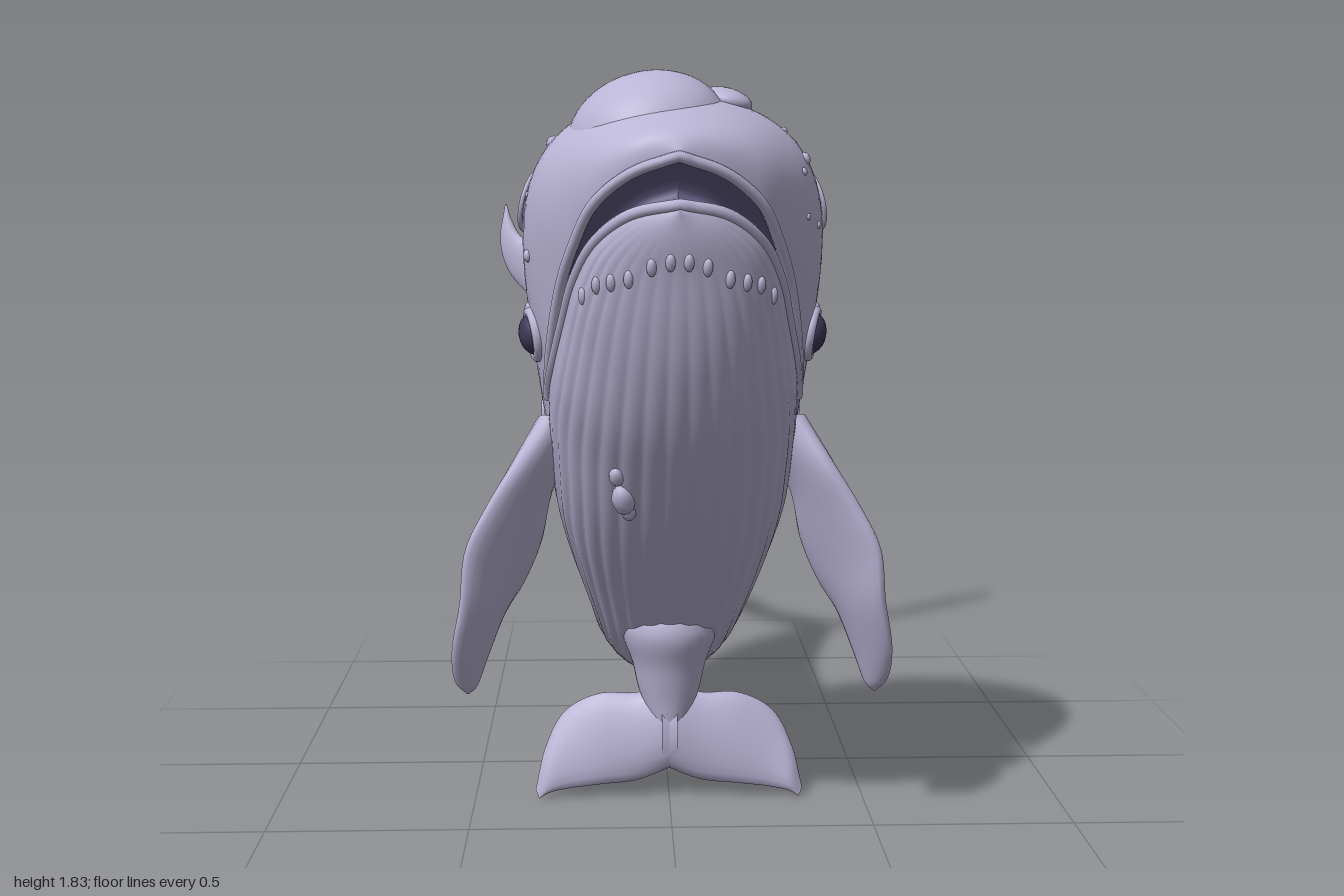
import * as THREE from 'three';
import { mergeGeometries, mergeVertices } from 'three/addons/utils/BufferGeometryUtils.js';

const V = (x, y, z) => new THREE.Vector3(x, y, z);
const skin = new THREE.MeshStandardMaterial({ color: 0xbab4d5 });
skin.name = 'lavenderSkin';
const dark = new THREE.MeshStandardMaterial({ color: 0x645c84, side: THREE.DoubleSide });
dark.name = 'darkHollow';
const eyeDark = new THREE.MeshStandardMaterial({ color: 0x3f3858 });
eyeDark.name = 'eyeDark';

// Body sections, head to tail: back (z, y), seam (z, y), seam half width, side bulge
const BACK = [
  [.93, 1.65, .93, 1.64, 0, 0], [.91, 1.69, .905, 1.605, .10, .01], [.85, 1.72, .86, 1.54, .18, .03],
  [.74, 1.76, .80, 1.45, .225, .065], [.60, 1.78, .74, 1.36, .255, .105], [.45, 1.765, .66, 1.22, .28, .12],
  [.30, 1.65, .58, 1.10, .29, .105], [.17, 1.50, .50, .98, .29, .075], [.11, 1.31, .42, .87, .285, .04],
  [.02, 1.11, .34, .75, .26, .02], [-.05, .97, .22, .61, .22, .015], [-.18, .82, .05, .50, .20, .005],
  [-.34, .76, -.22, .43, .19, 0], [-.48, .79, -.45, .46, .175, 0], [-.58, .88, -.63, .60, .15, 0],
  [-.64, .98, -.71, .75, .11, 0], [-.68, 1.06, -.735, .90, .07, 0], [-.71, 1.13, -.745, 1.03, .035, 0],
  [-.73, 1.17, -.745, 1.12, .015, 0]];
// Belly line (z, y) for the same sections, and the lower lip (z, y, half width)
const BELLY = [[1, 1.53], [.99, 1.46], [.97, 1.39], [.94, 1.28], [.90, 1.17], [.83, 1.03], [.74, .90], [.64, .77],
  [.53, .65], [.40, .52], [.25, .37], [0, .25], [-.26, .204], [-.53, .30], [-.70, .50], [-.77, .70],
  [-.785, .86], [-.77, 1.0], [-.75, 1.1]];
const LIP = [[.99, 1.54, 0], [.965, 1.52, .10], [.915, 1.465, .175], [.84, 1.38, .222], [.755, 1.28, .25], [.67, 1.18, .275]];

const path = pts => new THREE.CatmullRomCurve3(pts);
const backLine = path(BACK.map(s => V(0, s[1], s[0])));
const upperSeam = path(BACK.map(s => V(s[4], s[3], s[2])));
const bulgeLine = path(BACK.map((s, i) => V(s[5], i, 0)));
const bellyLine = path(BELLY.map(s => V(0, s[1], s[0])));
const lowerSeam = path(BACK.map((s, i) => (LIP[i] ? V(LIP[i][2], LIP[i][1], LIP[i][0]) : V(s[4], s[3], s[2]))));

// Surface over a grid of points fn(u, v)
function grid(nu, nv, fn, flip) {
  const pos = [], idx = [];
  for (let i = 0; i <= nu; i++) for (let j = 0; j <= nv; j++) pos.push(...fn(i / nu, j / nv).toArray());
  for (let i = 0; i < nu; i++) for (let j = 0; j < nv; j++) {
    const a = i * (nv + 1) + j, b = a + nv + 1;
    if (flip) idx.push(a, a + 1, b, b, a + 1, b + 1);
    else idx.push(a, b, a + 1, b, b + 1, a + 1);
  }
  const g = new THREE.BufferGeometry();
  g.setAttribute('position', new THREE.Float32BufferAttribute(pos, 3));
  g.setIndex(idx);
  return g;
}

function smooth(g) {
  const m = mergeVertices(g, 1e-4);
  m.computeVertexNormals();
  return m;
}

// Fin lofted through [leading edge, trailing edge, half thickness] sections
function finGeometry(sections, n, side) {
  const m = p => V(p[0] * side, p[1], p[2]);
  const normal = m(n).normalize();
  const lead = path(sections.map(s => m(s[0]))), trail = path(sections.map(s => m(s[1])));
  const thick = path(sections.map((s, i) => V(s[2], i, 0)));
  const span = lead.getPoint(.6).sub(lead.getPoint(.4));
  const flip = span.cross(normal).dot(lead.getPoint(.5).sub(trail.getPoint(.5))) < 0;
  return smooth(grid(32, 20, (u, v) => {
    const a = v * Math.PI * 2, A = lead.getPoint(u), B = trail.getPoint(u);
    return A.clone().add(B).multiplyScalar(.5)
      .addScaledVector(A.sub(B), .5 * Math.cos(a))
      .addScaledVector(normal, thick.getPoint(u).x * Math.sin(a));
  }, flip));
}

const PECTORAL = [[[.30, 1.04, .54], [.24, .96, .42], .05], [[.37, .93, .585], [.30, .84, .42], .045],
  [[.435, .83, .60], [.32, .72, .43], .036], [[.485, .73, .61], [.36, .62, .44], .032], [[.50, .6, .60], [.41, .54, .45], .03],
  [[.525, .47, .56], [.45, .44, .46], .025], [[.522, .38, .51], [.48, .36, .47], .017], [[.50, .345, .485], [.495, .345, .48], .002]];
const FLUKE = [[[-.03, 1.15, -.70], [-.03, .97, -.74], .03], [[.1, 1.19, -.78], [.1, 1.04, -.785], .034],
  [[.2, 1.22, -.83], [.22, 1.10, -.85], .03], [[.3, 1.28, -.89], [.32, 1.16, -.90], .028], [[.36, 1.37, -.92], [.40, 1.21, -.94], .026],
  [[.43, 1.40, -.95], [.47, 1.29, -.975], .023], [[.46, 1.45, -.97], [.495, 1.38, -.985], .017], [[.475, 1.5, -.98], [.48, 1.5, -.985], .002]];
const LOWER_FLUKE = [[[-.02, .31, .25], [-.02, .09, .28], .055], [[.08, .275, .25], [.08, .05, .28], .04],
  [[.18, .27, .24], [.18, .04, .285], .03], [[.27, .22, .23], [.26, .03, .285], .026],
  [[.32, .13, .25], [.31, .02, .29], .019], [[.345, .025, .28], [.335, .005, .29], .002]];

export function createModel() {
  const model = new THREE.Group();
  const add = (name, geo, mat = skin) => {
    const mesh = new THREE.Mesh(geo, mat);
    mesh.name = name;
    model.add(mesh);
    return mesh;
  };

  // Body: domed back shell joined to a pleated belly shell
  const back = grid(90, 48, (u, v) => {
    const a = v * Math.PI, S = upperSeam.getPoint(u), D = backLine.getPoint(u);
    const x = S.x * Math.cos(a) + bulgeLine.getPoint(u).x * Math.sin(2 * a);
    return S.clone().lerp(D, Math.sin(a)).setX(x);
  });
  const belly = grid(90, 144, (u, v) => {
    const a = v * Math.PI, S = lowerSeam.getPoint(u), B = bellyLine.getPoint(u);
    const fade = THREE.MathUtils.smoothstep(Math.sin(a), .1, .4) * (1 - THREE.MathUtils.smoothstep(u, .52, .7))
      * THREE.MathUtils.smoothstep(u, .03, .15);
    const k = 1 + .018 * fade * (Math.abs(Math.sin(a * 17)) - .6);
    return S.clone().lerp(B, Math.sin(a) * k).setX(S.x * Math.cos(a) * k);
  }, true);
  const bodyGeo = smooth(mergeGeometries([back, belly]));
  add('body', bodyGeo);

  // Mouth cavity and lips
  for (const s of [1, -1]) {
    add('mouthCavity', smooth(grid(24, 8, (u, v) => {
      const A = upperSeam.getPoint(u / 3), B = lowerSeam.getPoint(u / 3), d = Math.sin(v * Math.PI);
      const p = A.lerp(B, v);
      return V(s * p.x * (1 - .2 * d), p.y - .03 * d, p.z - .09 * d);
    })), dark);
  }
  for (const [seam, name] of [[upperSeam, 'upperLip'], [lowerSeam, 'lowerLip']]) {
    const pts = [];
    for (let i = -24; i <= 24; i++) {
      const p = seam.getPoint(Math.abs(i) / 24 * .34);
      pts.push(p.setX(p.x * Math.sign(i)));
    }
    add(name, new THREE.TubeGeometry(path(pts), 80, .013, 8));
  }

  // Nearest point and normal on the body; kx weights the sideways distance
  const P = bodyGeo.attributes.position, N = bodyGeo.attributes.normal;
  function anchor(x, y, z, kx = .03) {
    let best = 0, min = Infinity;
    for (let i = 0; i < P.count; i++) {
      const d = kx * (P.getX(i) - x) ** 2 + (P.getY(i) - y) ** 2 + (P.getZ(i) - z) ** 2;
      if (d < min) { min = d; best = i; }
    }
    return [V().fromBufferAttribute(P, best), V().fromBufferAttribute(N, best)];
  }
  const ball = new THREE.SphereGeometry(1, 20, 12);
  const halfBall = new THREE.SphereGeometry(1, 12, 12, -Math.PI / 2, Math.PI);
  const knob = new THREE.SphereGeometry(1, 10, 7);
  function stick(name, geo, at, size, mat) {
    const mesh = add(name, geo, mat);
    mesh.position.copy(at[0]);
    mesh.quaternion.setFromUnitVectors(V(0, 0, 1), at[1]);
    mesh.scale.set(...size);
  }

  // Head dome, the swelling beside it and a hollow on the nape
  const dome = add('headDome', new THREE.SphereGeometry(1, 40, 28));
  dome.position.set(-.06, 1.69, .635);
  dome.scale.set(.183, .14, .19);
  dome.rotation.set(.1, 0, .25);
  stick('headSwelling', ball, anchor(.12, 1.75, .6, 1), [.06, .07, .03]);
  stick('napeHollow', ball, anchor(.01, 1.47, .16, 1), [.04, .022, .008], dark);

  // Round pits: z, y, radius, fill (0 skin, 1 hollow, 2 half hollow)
  const pits = [[.47, 1.55, .07, 0], [.31, 1.02, .068, 2], [.18, .77, .08, 0], [.02, .66, .05, 2], [-.08, .60, .065, 1],
    [-.27, .56, .07, 0], [-.44, .62, .065, 2], [.28, 1.32, .025, 2], [.36, 1.13, .022, 0], [-.13, .37, .03, 0], [-.53, .68, .02, 0]];
  const rim = new THREE.TorusGeometry(1, .08, 6, 28);
  const lid = new THREE.TorusGeometry(.054, .013, 10, 32);
  let seed = 7;
  const rnd = () => (seed = (seed * 16807) % 2147483647) / 2147483647;
  for (const s of [1, -1]) {
    for (const [z, y, r, fill] of pits) {
      const at = anchor(s * .4, y, z);
      stick('pit', ball, at, [r, r, r * .16], fill === 1 ? dark : skin);
      if (fill === 2) stick('pitShade', halfBall, at, [s * r, r, r * .2], dark);
      stick('pitRim', rim, at, [r, r, r]);
    }
    // Eyes with lids
    const eye = anchor(s * .4, 1.22, .56);
    stick('eye', ball, eye, [.049, .049, .035], eyeDark);
    stick('eyelid', lid, eye, [1, 1, 1]);

    // Barnacles: dense patch behind the fin, scattered elsewhere
    for (let i = 0; i < 26; i++) {
      const r = .012 + .02 * rnd();
      stick('barnacle', knob, anchor(s * .4, .86 + .26 * rnd(), .04 + .22 * rnd()), [r, r, r * .8]);
    }
    for (let i = 0; i < 36; i++) {
      const t = .2 + .52 * rnd(), h = .1 + .75 * rnd(), r = .007 + .011 * rnd();
      const p = upperSeam.getPoint(t).lerp(backLine.getPoint(t), h);
      stick('bump', knob, anchor(s * .4, p.y, p.z), [r, r, r * .7]);
    }
    // Chin knobs below the lower lip
    for (let i = 0; i < 6; i++) {
      const x = .02 + i * .035;
      stick('chinKnob', knob, anchor(s * x, 1.43 - i * .015, .97 - x * .5, 1), [.011, .02, .01]);
    }

    // Fins and flukes
    add('pectoralFin', finGeometry(PECTORAL, [.8, 0, -.6], s));
    add('tailFluke', finGeometry(FLUKE, [.5, 0, .87], s));
    add('lowerFluke', finGeometry(LOWER_FLUKE, [0, .2, 1], s));
  }
  for (const [y, r] of [[.93, .018], [.86, .028], [.78, .018]]) stick('chestLump', knob, anchor(-.13, y, .72, 1), [r, r * 1.5, r]);

  // Stalk carrying the lower fluke: y, z, half width, half depth
  const stalk = [[.58, .22, .10, .10], [.46, .25, .125, .125], [.36, .25, .095, .095], [.27, .255, .072, .068], [.13, .27, .015, .03]];
  const mid = path(stalk.map(s => V(0, s[0], s[1]))), size = path(stalk.map((s, i) => V(s[2], i, s[3])));
  add('lowerStalk', smooth(grid(20, 28, (u, v) => {
    const a = v * Math.PI * 2, r = size.getPoint(u);
    return mid.getPoint(u).add(V(r.x * Math.cos(a), 0, r.z * Math.sin(a)));
  }, true)));

  // Small fins along the back, drawn in (z, y)
  for (const pts of [[[.06, 1.0], [.01, 1.1], [-.03, 1.085], [-.05, 1.0], [0, .92]],
    [[-.04, .92], [-.10, .93], [-.15, .885], [-.20, .80], [-.13, .76]],
    [[-.40, .74], [-.44, .79], [-.465, .835], [-.475, .79], [-.52, .78], [-.5, .72]]]) {
    const outline = new THREE.SplineCurve(pts.map(p => new THREE.Vector2(-p[0], p[1]))).getPoints(20);
    const g = new THREE.ExtrudeGeometry(new THREE.Shape(outline),
      { depth: .014, bevelEnabled: true, bevelSize: .005, bevelThickness: .006, bevelSegments: 3 });
    g.translate(0, 0, -.007).rotateY(Math.PI / 2);
    add('dorsalRidge', g);
  }
  return model;
}
